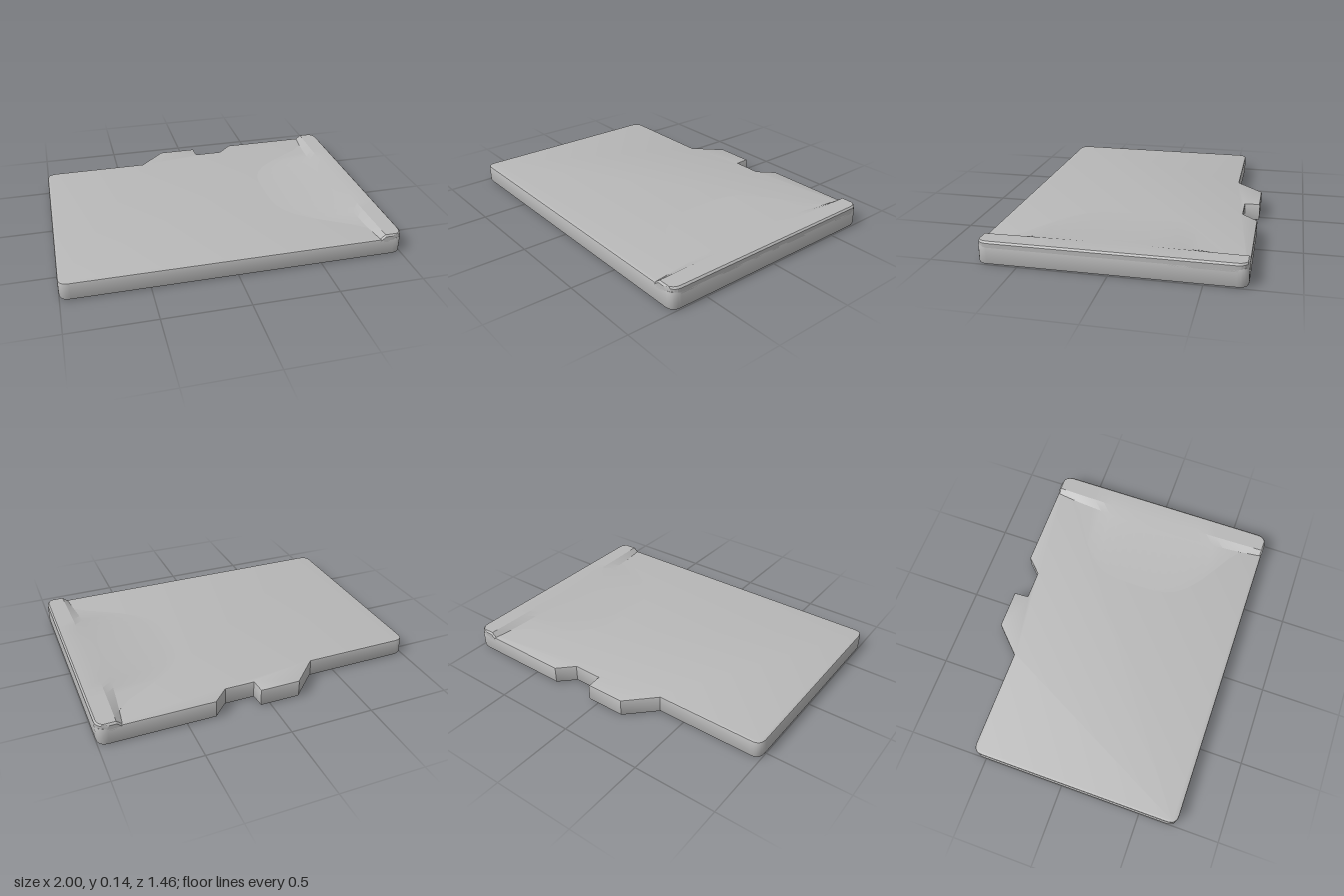
import * as THREE from 'three';
import { toCreasedNormals, mergeVertices } from 'three/addons/utils/BufferGeometryUtils.js';

const HALF = 0.73;     // half depth
const R = 0.06;        // plan corner radius
const BASE = 0.002;    // underside of the body
const TOP = 0.11;      // main top surface
const LIP = 0.135;     // top of the grip ridge
const B = 0.01;        // edge bevel

// Closed plan outline from [x, z, radius] corners
function outline(points) {
  const shape = new THREE.Shape();
  const v = points.map(([x, z]) => new THREE.Vector2(x, -z));
  points.forEach(([, , r = 0], i) => {
    const p = v[i];
    const toward = (q) => p.clone().add(q.clone().sub(p).setLength(r));
    const a = r ? toward(v[(i + v.length - 1) % v.length]) : p;
    const b = r ? toward(v[(i + 1) % v.length]) : p;
    if (i) shape.lineTo(a.x, a.y);
    else shape.moveTo(a.x, a.y);
    if (r) shape.quadraticCurveTo(p.x, p.y, b.x, b.y);
  });
  shape.closePath();
  return shape;
}

// Card body with the notched back edge
function bodyGeometry() {
  const shape = outline([
    [-1, HALF, R], [1, HALF, R], [1, -HALF, R],
    [0.33, -HALF], [0.24, -0.64], [0.065, -0.64], [0.06, -HALF],
    [-0.18, -HALF], [-0.34, -0.57], [-1, -0.57, R],
  ]);
  const geo = new THREE.ExtrudeGeometry(shape, {
    depth: TOP - BASE - 2 * B, bevelThickness: B, bevelSize: B,
    bevelOffset: -B, bevelSegments: 2, curveSegments: 6,
  });
  geo.rotateX(-Math.PI / 2).translate(0, BASE + B, 0);
  return toCreasedNormals(geo, 0.6);
}

// Grip ridge: sections across x, lofted along z, arched into a soft ramp at mid-depth
function ridgeGeometry() {
  const rows = [];
  const section = (z, drop, skirt) => {
    const s = 1 - (z / HALF) ** 2;
    const t = THREE.MathUtils.smoothstep(s, 0.25, 1);
    const c = Math.max(0, Math.abs(z) - (HALF - R));
    const outer = 1 - R + Math.sqrt(Math.max(0, R * R - c * c));
    const profile = [
      [0.855 - 0.5 * t, TOP - 0.0005],
      [0.86 - 0.05 * s, TOP + 0.01 * t],
      [0.89 - 0.01 * s, LIP],
      [outer - B, LIP],
      [outer, LIP - B],
      [outer, 0.09],
    ];
    rows.push(profile.map(([x, y]) => [x, skirt ? 0.09 : Math.max(0.09, y - drop), z]));
  };
  section(-HALF, 0, true);
  section(-HALF, B, false);
  const inner = HALF - B;
  const zs = [-inner, -0.705, -0.69, -HALF + R];
  for (let i = 1; i < 20; i++) zs.push((HALF - R) * (i / 10 - 1));
  zs.push(HALF - R, 0.69, 0.705, inner);
  zs.forEach((z) => section(z, 0, false));
  section(HALF, B, false);
  section(HALF, 0, true);

  const n = rows[0].length;
  const index = [];
  for (let r = 0; r < rows.length - 1; r++) {
    for (let c = 0; c < n - 1; c++) {
      const a = r * n + c, b = a + n;
      index.push(a, b, a + 1, a + 1, b, b + 1);
    }
  }
  const geo = new THREE.BufferGeometry();
  geo.setAttribute('position', new THREE.Float32BufferAttribute(rows.flat(2), 3));
  geo.setIndex(index);
  return toCreasedNormals(mergeVertices(geo), 0.3);
}

export function createModel() {
  const grey = new THREE.MeshStandardMaterial({ color: 0xb8b8b8 });
  grey.name = 'card grey';
  const group = new THREE.Group();
  group.name = 'memoryCard';
  const add = (name, geometry) => {
    const mesh = new THREE.Mesh(geometry, grey);
    mesh.name = name;
    group.add(mesh);
    return mesh;
  };

  add('cardBody', bodyGeometry());
  add('gripRidge', ridgeGeometry());

  // Row of contact pads, almost flush with the underside
  const pad = new THREE.BoxGeometry(0.36, 0.003, 0.1);
  for (let i = 0; i < 8; i++) {
    add('contactPad' + (i + 1), pad).position.set(-0.72, 0.0015, -0.42 + i * 0.145);
  }
  return group;
}
